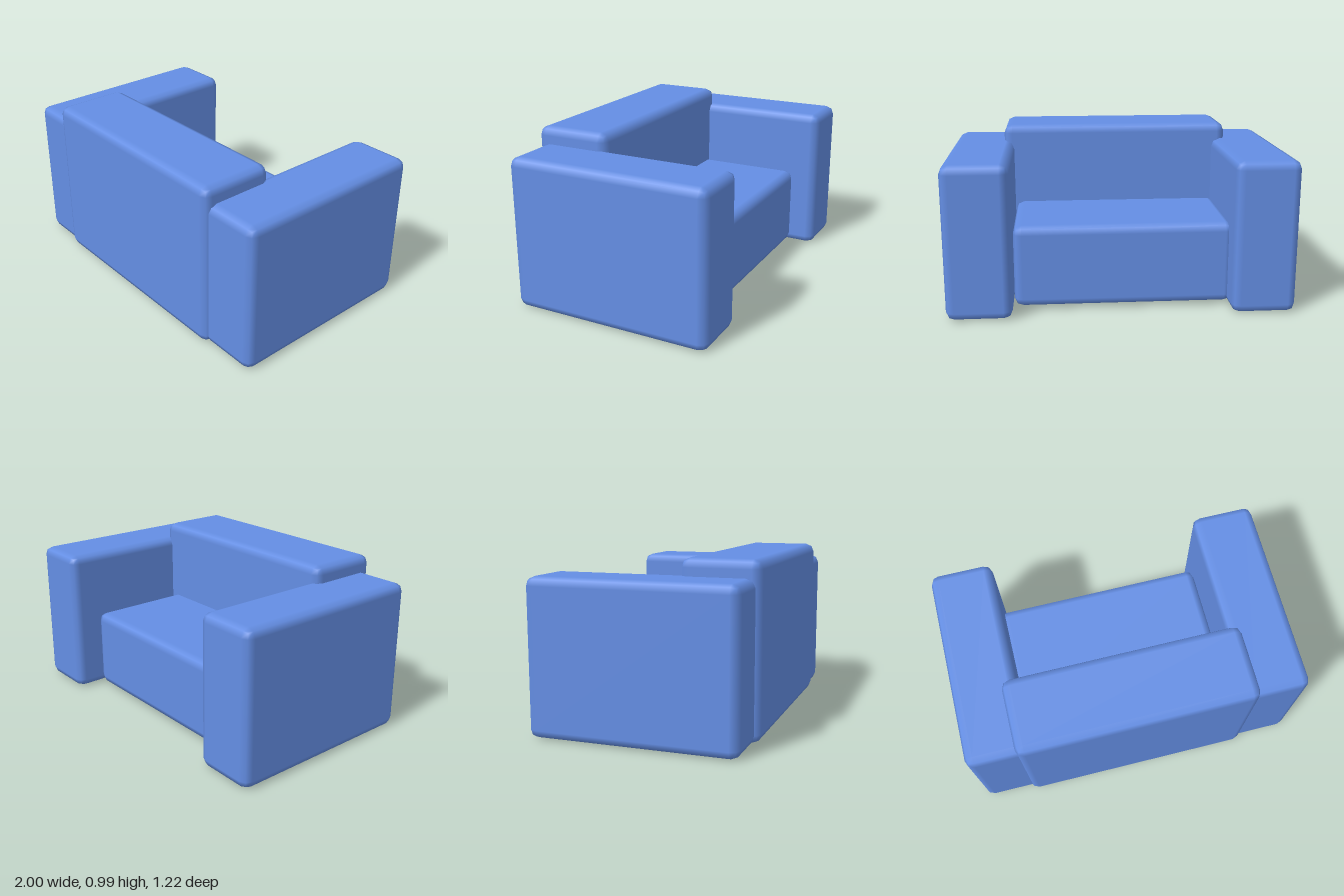
import * as THREE from 'three';
import { RoundedBoxGeometry } from 'three/addons/geometries/RoundedBoxGeometry.js';

export function createModel() {
  const model = new THREE.Group();
  model.name = 'armchair';
  const fabric = new THREE.MeshStandardMaterial({ color: 0x648ee4 });
  fabric.name = 'blue fabric';

  // Soft-edged cushion block spanning the given min and max corners
  function cushion(name, [x0, y0, z0], [x1, y1, z1]) {
    const mesh = new THREE.Mesh(new RoundedBoxGeometry(x1 - x0, y1 - y0, z1 - z0, 1, 0.05), fabric);
    mesh.position.set((x0 + x1) / 2, (y0 + y1) / 2, (z0 + z1) / 2);
    mesh.name = name;
    model.add(mesh);
  }

  // Armrests
  cushion('leftArm', [0.625, 0, -0.612], [1, 0.89, 0.583]);
  cushion('rightArm', [-1, 0, -0.612], [-0.628, 0.89, 0.583]);

  // Backrest, overlapping both arms
  cushion('backrest', [-0.713, 0.003, 0.163], [0.685, 0.988, 0.612]);

  // Seat, running into the backrest and the right arm
  cushion('seat', [-0.66, 0.015, -0.456], [0.62, 0.5, 0.3]);

  return model;
}
